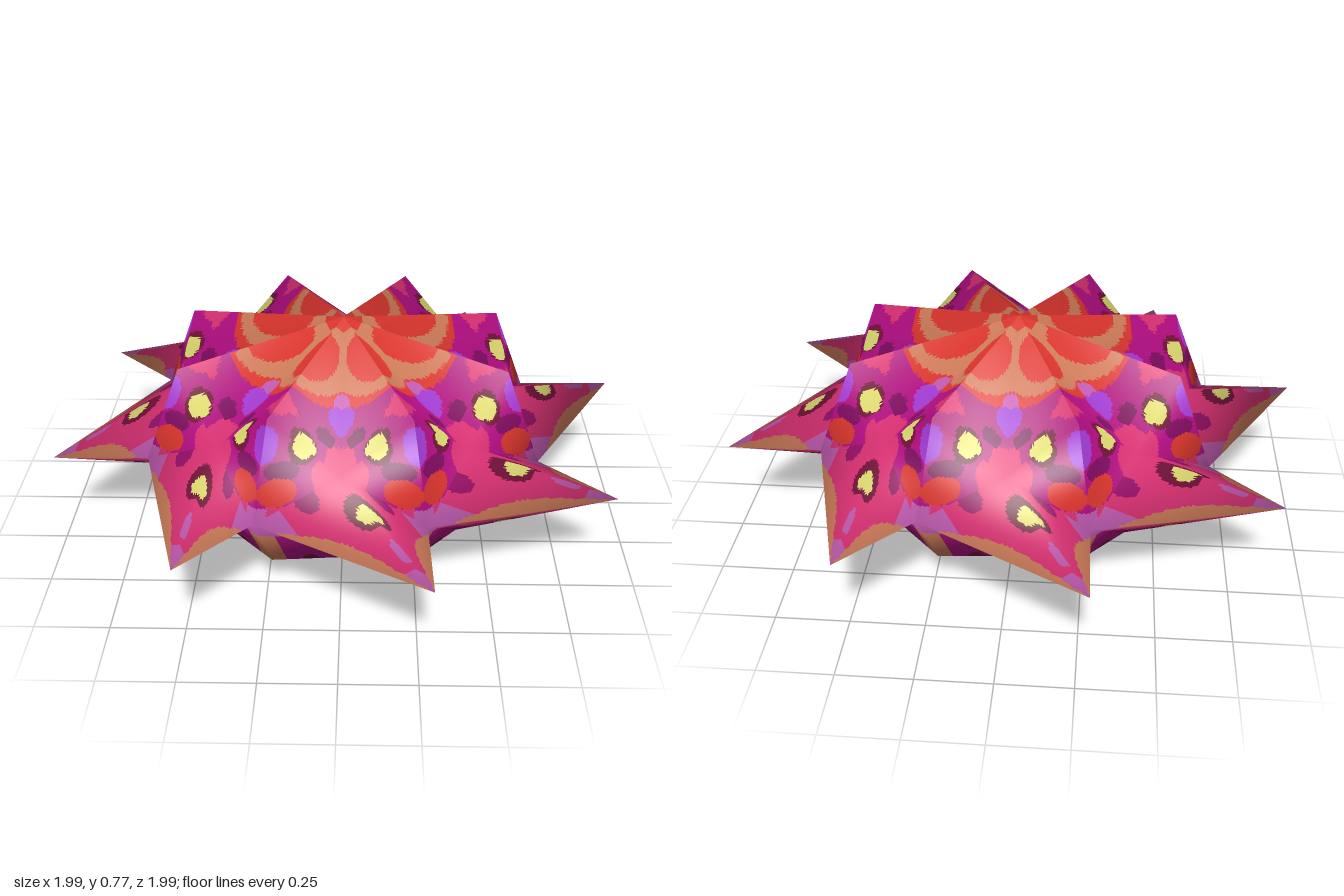
import * as THREE from 'three';

const COLORS = {
  red: 0xd8342c, tan: 0xcc7a58, magenta: 0xb00d80, purple: 0x7c0a5e, pink: 0xd83072,
  orchid: 0xc05ab0, violet: 0xa03ad0, yellow: 0xdcd870, maroon: 0x701038, plum: 0x960f68,
};
const NAMES = Object.keys(COLORS);
const RAD = Math.PI / 180;
const STEPS = 36; // subdivisions of each facet, fine enough for the painted pattern

// Point from angle in degrees around y, radius and height
const polar = (deg, r, y) => new THREE.Vector3(r * Math.cos(deg * RAD), y, r * Math.sin(deg * RAD));
const inside = (x, y, x0, y0, rx, ry) => ((x - x0) / rx) ** 2 + ((y - y0) / ry) ** 2 < 1;

// Mirrored coordinates inside one sixteenth: side = distance from the valley, rib = from the ridge
function fold(p) {
  const deg = Math.atan2(p.z, p.x) / RAD;
  const a = Math.abs(deg - 45 * Math.round(deg / 45));
  const r = Math.hypot(p.x, p.z);
  return { a, r, y: p.y, along: r * Math.cos(a * RAD), side: r * Math.sin(a * RAD),
    rib: r * Math.sin((22.5 - a) * RAD), ribAlong: r * Math.cos((22.5 - a) * RAD) };
}

// Flower on the top of the crown
function paintRoof(p) {
  const f = fold(p);
  if (f.r < 0.065) return 'red';
  if (inside(f.ribAlong, f.rib, 0.23, 0, 0.12, 0.066)) return 'red';
  if (inside(f.along, f.side, 0.405, 0, 0.05, 0.042)) return 'violet';
  if (inside(f.along, f.side, 0.355, 0, 0.05, 0.026)) return 'orchid';
  if (inside(f.ribAlong, f.rib, 0.23, 0, 0.163, 0.112) || f.r < 0.27) return 'tan';
  if (inside(f.ribAlong, f.rib, 0.25, 0, 0.165, 0.15)) return 'red';
  if (inside(f.along, f.side, 0.56, 0.11, 0.036, 0.033)) return 'yellow';
  if (inside(f.along, f.side, 0.555, 0.115, 0.046, 0.042)) return 'maroon';
  if (inside(f.along, f.side, 0.57, 0, 0.07, 0.05)) return 'pink';
  // star near each peak, with a dark patch at its foot
  if (inside(f.ribAlong, f.rib, 0.505, 0, 0.055, 0.03)) return 'pink';
  if (inside(f.ribAlong, f.rib, 0.49, 0, 0.025, 0.055)) return 'pink';
  if (inside(f.along, f.side, 0.49, 0.05, 0.03, 0.03)) return 'purple';
  return 'magenta';
}

// Folded side of the crown
function paintWall(p) {
  const f = fold(p);
  if (inside(f.y, f.rib, 0.6, 0, 0.06, 0.04)) return 'violet';
  if (inside(f.y, f.side, 0.59, 0.115, 0.036, 0.033)) return 'yellow';
  if (inside(f.y, f.side, 0.585, 0.12, 0.05, 0.044)) return 'maroon';
  if (inside(f.y, f.rib, 0.455, 0.055, 0.045, 0.055)) return 'red';
  if (f.y < 0.41) return f.rib < 0.035 ? 'orchid' : 'pink';
  if (inside(f.y, f.side, 0.5, 0, 0.08, 0.09)) return 'pink';
  return inside(f.y, f.rib, 0.52, 0.06, 0.03, 0.05) ? 'purple' : 'magenta';
}

// Tan lens along the outer edge of a spike, tapering to both ends
function onEdgeLens(inner, notch, tip, width) {
  const s = tip / (tip + notch);
  return inner < width * Math.sin(Math.PI * Math.min(1, Math.max(0, s * 1.15 - 0.13)));
}

// Spikes, painted by weights: inner (ridge root), notch (equator root), tip
function paintSpike(p, inner, notch, tip) {
  if (onEdgeLens(inner, notch, tip, 0.18)) return 'tan';
  if (tip > 0.8 || notch > 0.7) return 'orchid';
  if (inside(tip, notch, 0.33, 0.03, 0.075, 0.1)) return 'yellow';
  if (inside(tip, notch, 0.3, 0.04, 0.15, 0.17)) return 'maroon';
  if (inside(tip, notch, 0.66, 0, 0.1, 0.06)) return 'orchid';
  if (inside(tip, notch, 0.04, 0.42, 0.1, 0.12)) return 'plum';
  return 'pink';
}

function paintSpikeBelow(p, inner, notch, tip) {
  if (onEdgeLens(inner, notch, tip, 0.2)) return 'tan';
  if (tip > 0.8 || notch > 0.72) return 'orchid';
  if (inside(tip, notch, 0.3, 0.05, 0.06, 0.09)) return 'yellow';
  if (inside(tip, notch, 0.3, 0, 0.14, 0.2)) return 'maroon';
  if (inside(tip, notch, 0, 0.2, 0.12, 0.16)) return 'purple';
  if (inner > 0.6) return 'magenta';
  return inside(tip, notch, 0, 0.5, 0.12, 0.1) ? 'plum' : 'pink';
}

// Rayed underside
function paintBase(p) {
  const f = fold(p);
  if (f.r < 0.03) return 'purple';
  if (f.r < 0.13) return f.a < 4 || f.a > 13 ? 'orchid' : 'purple';
  if (f.y < 0.29 && f.rib < 0.048) return 'tan';
  if (f.y > 0.29) return f.rib < 0.08 ? 'orchid' : 'pink';
  if (inside(f.along, f.side, 0.52, 0.1, 0.025, 0.025)) return 'yellow';
  if (inside(f.along, f.side, 0.52, 0.1, 0.05, 0.042)) return 'maroon';
  if (f.side < 0.014 && f.r < 0.25) return 'orchid';
  if (f.side < 0.05 && f.r < 0.42) return 'purple';
  return f.r > 0.42 ? 'magenta' : 'plum';
}

// Normal of a facet, and whether it already points away from the core
function facing([a, b, c]) {
  const normal = b.clone().sub(a).cross(c.clone().sub(a)).normalize();
  const middle = a.clone().add(b).add(c).divideScalar(3).sub(new THREE.Vector3(0, 0.36, 0));
  return { normal, front: normal.dot(middle) > 0 };
}

// Smooth normals: the mean of the facet normals at each corner, weighted by angle
function cornerNormals(facets) {
  const normals = new Map();
  for (const facet of facets) {
    const { normal, front } = facing(facet);
    facet.forEach((p, i) => {
      const e = facet[(i + 1) % 3].clone().sub(p), g = facet[(i + 2) % 3].clone().sub(p);
      const sum = normals.get(p) ?? new THREE.Vector3();
      normals.set(p, sum.addScaledVector(normal, e.angleTo(g) * (front ? 1 : -1)));
    });
  }
  normals.forEach((n) => n.normalize());
  return normals;
}

// Splits facets into small triangles, sorted into one geometry group per colour
function paintedMesh(name, facets, paint, materials) {
  const positions = NAMES.map(() => []), shading = NAMES.map(() => []);
  for (const { facet, corners } of facets) {
    const { front } = facing(facet);
    const blend = ([a, b, c], i, j) => a.clone().multiplyScalar(1 - (i + j) / STEPS)
      .addScaledVector(b, i / STEPS).addScaledVector(c, j / STEPS);
    const add = (...ij) => {
      const u = (ij[0][0] + ij[1][0] + ij[2][0]) / 3, v = (ij[0][1] + ij[1][1] + ij[2][1]) / 3;
      const k = NAMES.indexOf(paint(blend(facet, u, v), 1 - (u + v) / STEPS, u / STEPS, v / STEPS));
      for (const [i, j] of front ? ij : [ij[0], ij[2], ij[1]]) {
        positions[k].push(...blend(facet, i, j).toArray());
        shading[k].push(...blend(corners, i, j).normalize().toArray());
      }
    };
    for (let i = 0; i < STEPS; i++) {
      for (let j = 0; j < STEPS - i; j++) {
        add([i, j], [i + 1, j], [i, j + 1]);
        if (i + j < STEPS - 1) add([i + 1, j], [i + 1, j + 1], [i, j + 1]);
      }
    }
  }
  const geometry = new THREE.BufferGeometry();
  let start = 0;
  positions.forEach((b, k) => {
    if (b.length) geometry.addGroup(start, b.length / 3, k);
    start += b.length / 3;
  });
  geometry.setAttribute('position', new THREE.Float32BufferAttribute(positions.flat(), 3));
  geometry.setAttribute('normal', new THREE.Float32BufferAttribute(shading.flat(), 3));
  const mesh = new THREE.Mesh(geometry, materials);
  mesh.name = name;
  return mesh;
}

const PAINTERS = {
  crownTop: paintRoof, crownSides: paintWall, spikeTops: paintSpike,
  spikeUndersides: paintSpikeBelow, base: paintBase,
};

export function createModel() {
  const materials = NAMES.map((name) => {
    const m = new THREE.MeshStandardMaterial({ color: COLORS[name] });
    m.name = name;
    return m;
  });
  const parts = Object.fromEntries(Object.keys(PAINTERS).map((name) => [name, []]));
  const top = new THREE.Vector3(0, 0.77, 0), bottom = new THREE.Vector3(0, 0, 0);

  // Eight sectors around the axis, each smooth within itself and creased along its ridges
  for (let k = 0; k < 8; k++) {
    const mid = 45 * k;
    const valley = polar(mid, 0.59, 0.495);
    const under = polar(mid, 0.555, 0.15);
    const tip = polar(mid - 16, 1.037, 0.36); // spikes lean to one side
    const sector = [];
    for (const s of [-22.5, 22.5]) {
      const peak = polar(mid + s, 0.6, 0.68);
      const notch = polar(mid + s, 0.727, 0.36);
      const foot = polar(mid + s, 0.6, 0.135);
      sector.push(
        ['crownTop', [top, peak, valley]], ['crownSides', [valley, notch, peak]],
        ['spikeTops', [valley, notch, tip]], ['spikeUndersides', [under, notch, tip]],
        ['base', [bottom, foot, under]], ['base', [under, notch, foot]],
      );
    }
    const normals = cornerNormals(sector.map(([, facet]) => facet));
    for (const [name, facet] of sector) {
      parts[name].push({ facet, corners: facet.map((p) => normals.get(p)) });
    }
  }

  const group = new THREE.Group();
  group.name = 'foldedStar';
  for (const name in parts) group.add(paintedMesh(name, parts[name], PAINTERS[name], materials));
  return group;
}
